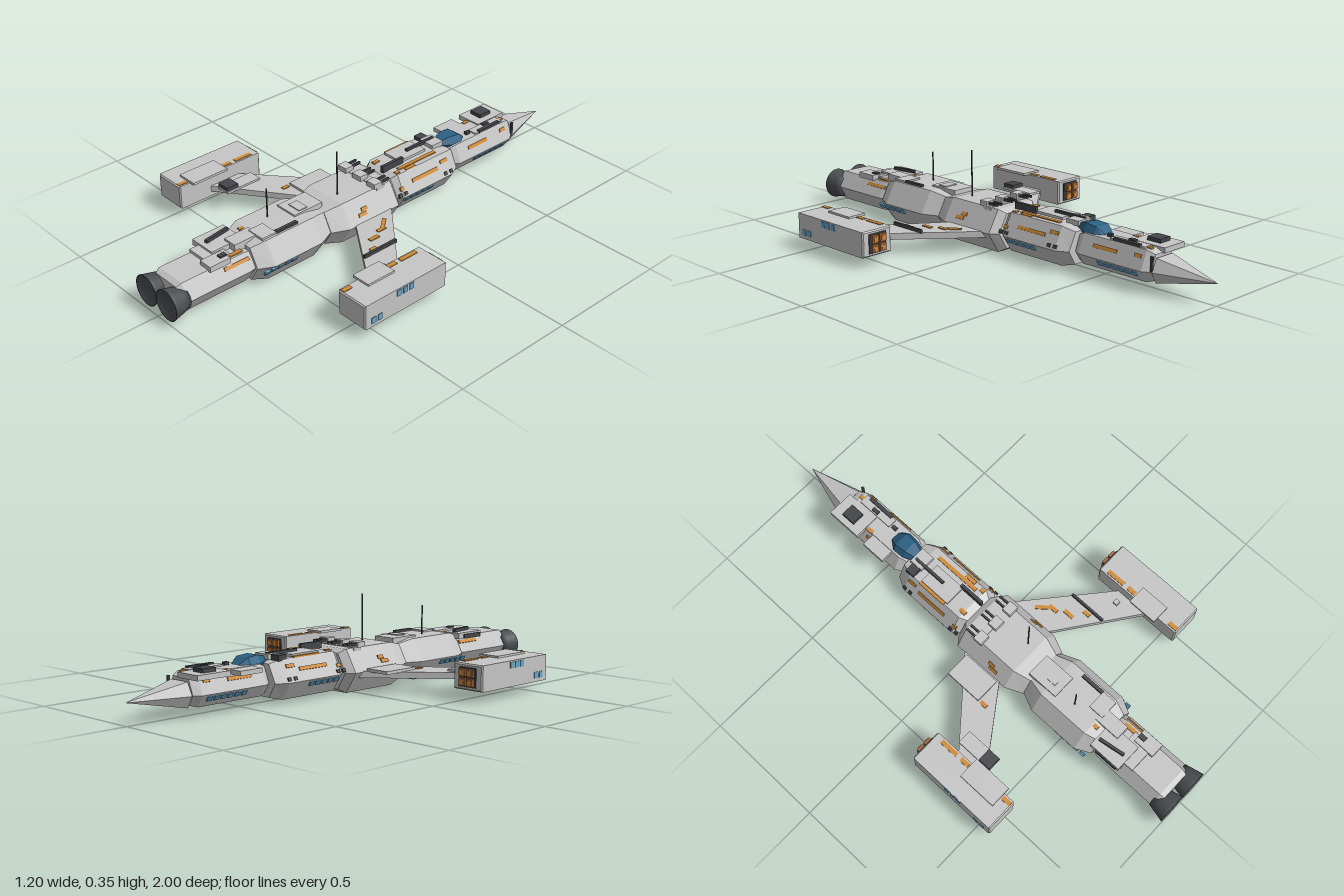
import * as THREE from 'three';

const paint = (name, color) => Object.assign(new THREE.MeshStandardMaterial({ color }), { name });

export function createModel() {
  const ship = new THREE.Group();
  ship.name = 'spaceship';
  const hull = paint('hull grey', 0xc6c6c6);
  const dark = paint('dark metal', 0x43464a);
  const engine = paint('engine grey', 0x4a4e52);
  const orange = paint('orange marking', 0xd08c38);
  const blue = paint('window blue', 0x62a8d0);
  const glass = paint('canopy blue', 0x2b6285);
  const rust = paint('launch tube rust', 0xa8683a);
  hull.flatShading = true;
  glass.flatShading = true;

  const add = (name, geo, mat) => {
    const m = new THREE.Mesh(geo, mat);
    m.name = name;
    ship.add(m);
    return m;
  };
  // Box given by its limits on each axis
  const box = (name, mat, x0, x1, y0, y1, z0, z1) => {
    const m = add(name, new THREE.BoxGeometry(x1 - x0, y1 - y0, z1 - z0), mat);
    m.position.set((x0 + x1) / 2, (y0 + y1) / 2, (z0 + z1) / 2);
    return m;
  };

  // Six-sided body through rings [z, halfWidth, bottom, middle, top, flatShare]
  function loft(name, mat, rings) {
    const pos = [];
    const sections = rings.map(([z, w, b, c, t, f = 0.64]) => [
      [w, c, z], [w * f, t, z], [-w * f, t, z], [-w, c, z], [-w * f, b, z], [w * f, b, z]]);
    const tri = (...p) => p.forEach((v) => pos.push(...v));
    for (let i = 0; i < sections.length - 1; i++) {
      const A = sections[i], B = sections[i + 1];
      for (let k = 0; k < 6; k++) {
        const n = (k + 1) % 6;
        tri(A[k], A[n], B[n]);
        tri(A[k], B[n], B[k]);
      }
    }
    const first = sections[0], last = sections[sections.length - 1];
    for (let k = 1; k < 5; k++) {
      tri(first[0], first[k + 1], first[k]);
      tri(last[0], last[k], last[k + 1]);
    }
    const geo = new THREE.BufferGeometry();
    geo.setAttribute('position', new THREE.Float32BufferAttribute(pos, 3));
    geo.computeVertexNormals();
    return add(name, geo, mat);
  }

  // Hull modules with tapered ends
  function hullModule(name, z0, z1, w, b, t, t0, t1, s = 0.78) {
    const c = 0.087;
    const end = (z) => [z, w * s, c + (b - c) * 0.82, c, c + (t - c) * 0.82];
    const mid = (z) => [z, w, b, c, t];
    loft(name, hull, [end(z0), mid(z0 + t0), mid(z1 - t1), end(z1)]);
    return { w, b, t, c };
  }
  const bow = hullModule('bowModule', -0.765, -0.41, 0.086, 0.042, 0.16, 0.03, 0.03);
  const fore = hullModule('foreModule', -0.405, -0.06, 0.122, 0.02, 0.172, 0.05, 0.03);
  const mid = hullModule('middleModule', -0.06, 0.285, 0.145, 0.005, 0.175, 0.025, 0.07);
  const aft = hullModule('aftModule', 0.285, 0.635, 0.14, 0.008, 0.175, 0.07, 0.06);
  const tail = hullModule('tailModule', 0.62, 0.955, 0.103, 0.028, 0.15, 0.04, 0.02, 0.92);
  loft('noseCone', hull, [[-1, 0.001, 0.086, 0.087, 0.088], [-0.77, 0.07, 0.042, 0.087, 0.135]]);
  loft('canopy', glass, [
    [-0.515, 0.03, 0.14, 0.15, 0.16], [-0.48, 0.05, 0.13, 0.155, 0.185],
    [-0.43, 0.045, 0.13, 0.16, 0.19], [-0.375, 0.02, 0.14, 0.165, 0.178]]);

  // Thin plate lying on a sloping flank of a module
  function flankPlate(name, mat, m, side, y, z0, z1, h = 0.014) {
    const edge = y > m.c ? m.t : m.b;
    const run = m.w * 0.64 - m.w, rise = edge - m.c;
    const x = m.w + run * (y - m.c) / rise;
    const p = add(name, new THREE.BoxGeometry(0.008, h, z1 - z0), mat);
    p.position.set(side * x, y, (z0 + z1) / 2);
    p.rotation.z = side * Math.atan(-run / rise);
  }
  for (const s of [-1, 1]) {
    // Window rows: module, first z, count
    for (const [m, z, n] of [[bow, -0.71, 6], [fore, -0.25, 5], [aft, 0.47, 5]])
      for (let i = 0; i < n; i++)
        flankPlate('hullWindow', blue, m, s, 0.072, z + i * 0.032, z + i * 0.032 + 0.022, 0.02);
    // Orange stripes along the upper flanks
    for (const [m, y, z0, z1] of [
      [bow, 0.128, -0.61, -0.5], [bow, 0.135, -0.72, -0.69], [fore, 0.13, -0.29, -0.15],
      [fore, 0.12, -0.1, -0.08], [fore, 0.145, -0.35, -0.31], [mid, 0.115, 0.12, 0.16],
      [mid, 0.13, 0.11, 0.14], [tail, 0.128, 0.65, 0.76]])
      flankPlate('flankStripe', orange, m, s, y, z0, z1);
    for (const z of [-0.36, -0.33, -0.11, -0.08])
      flankPlate('flankBlock', dark, fore, s, 0.1, z, z + 0.015);

    // Engine bell with a hollow nozzle
    const bell = new THREE.LatheGeometry([[0, -0.06], [0.044, -0.06], [0.05, -0.035],
      [0.058, 0], [0.062, 0.015], [0.058, 0.015], [0.04, 0.004], [0, 0]]
      .map(([r, y]) => new THREE.Vector2(r, y)), 28);
    const e = add('engineBell', bell, engine);
    engine.side = THREE.DoubleSide;
    e.rotation.x = Math.PI / 2;
    e.position.set(s * 0.06, 0.084, 0.985);

    // Swept wing
    const outline = [[0.1, -0.03], [0.14, 0], [0.47, 0.28], [0.47, 0.42], [0.14, 0.185], [0.1, 0.16]];
    const shape = new THREE.Shape(outline.map(([x, z]) => new THREE.Vector2(s * x, -z)));
    const wing = new THREE.ExtrudeGeometry(shape, { depth: 0.025, bevelEnabled: false });
    wing.rotateX(-Math.PI / 2);
    add('wing', wing, hull).position.y = 0.065;

    // Weapon pod with softened edges
    const face = new THREE.Shape();
    face.moveTo(-0.063, -0.045).lineTo(0.063, -0.045).lineTo(0.063, 0.045).lineTo(-0.063, 0.045);
    const podGeo = new THREE.ExtrudeGeometry(face, {
      depth: 0.385, bevelSize: 0.005, bevelThickness: 0.005, bevelSegments: 1 });
    add('pod', podGeo, hull).position.set(s * 0.527, 0.095, 0.17);
    const px = s * 0.527;
    box('launcherFrame', dark, px - 0.04, px + 0.04, 0.057, 0.133, 0.161, 0.17);
    for (const dx of [-0.018, 0.018])
      for (const dy of [-0.018, 0.018]) {
        const x = px + dx, y = 0.095 + dy;
        box('launchTube', rust, x - 0.015, x + 0.015, y - 0.015, y + 0.015, 0.15, 0.165);
        box('launchTubeMouth', orange, x - 0.008, x + 0.008, y - 0.008, y + 0.008, 0.148, 0.152);
      }
    // Pod windows and stripes
    const ox = s * 0.595;
    for (const [y, z] of [[0.128, 0.33], [0.128, 0.36], [0.128, 0.39], [0.072, 0.48], [0.072, 0.51]])
      box('podWindow', blue, ox - 0.003, ox + 0.003, y - 0.012, y + 0.012, z, z + 0.02);
    for (const [z0, z1] of [[0.2, 0.28], [0.3, 0.34], [0.515, 0.555]])
      box('podStripe', orange, s * 0.475 - 0.009, s * 0.475 + 0.009, 0.142, 0.148, z0, z1);
  }
  box('rightPodPlate', hull, -0.525, -0.435, 0.143, 0.153, 0.345, 0.51);
  box('leftPodPlate', hull, 0.435, 0.515, 0.143, 0.153, 0.345, 0.47);

  // Wing fittings
  box('wingRootPlate', hull, -0.255, -0.15, 0.088, 0.1, 0.02, 0.18);
  box('wingTipPlate', hull, -0.425, -0.365, 0.088, 0.098, 0.24, 0.4);
  box('wingTurret', dark, -0.425, -0.37, 0.098, 0.113, 0.345, 0.4);
  box('wingRod', dark, 0.315, 0.325, 0.088, 0.103, 0.15, 0.31);
  box('wingBlock', hull, 0.405, 0.425, 0.088, 0.102, 0.29, 0.31);
  for (const [x, z, l] of [[0.2, 0.1, 0.06], [0.225, 0.135, 0.04], [0.25, 0.195, 0.045], [0.3, 0.245, 0.03], [-0.25, 0.205, 0.03]]) {
    const m = box('wingStripe', orange, x - 0.008, x + 0.008, 0.088, 0.094, z - l / 2, z + l / 2);
    if (l > 0.05) m.rotation.y = 0.7;
  }
  for (const x of [-0.22, -0.2, 0.19, 0.23])
    box('wingUnderBlock', dark, x - 0.006, x + 0.006, 0.06, 0.068, 0.14, 0.16);

  // Raised deck plates
  for (const [x0, x1, y0, y1, z0, z1] of [
    [-0.105, 0.005, 0.145, 0.165, -0.775, -0.625], [-0.11, 0.005, 0.14, 0.158, -0.585, -0.48],
    [0.01, 0.05, 0.155, 0.166, -0.72, -0.56], [-0.07, 0.02, 0.168, 0.182, -0.3, -0.16],
    [-0.04, 0.03, 0.168, 0.188, -0.39, -0.33], [-0.1, 0.1, 0.155, 0.178, 0, 0.04],
    [-0.06, 0.04, 0.15, 0.182, 0.265, 0.4], [-0.03, 0.03, 0.17, 0.186, 0.33, 0.37],
    [0, 0.08, 0.165, 0.182, 0.52, 0.585], [-0.105, 0.01, 0.145, 0.17, 0.62, 0.76],
    [-0.07, 0.05, 0.145, 0.162, 0.71, 0.8], [0.02, 0.08, 0.145, 0.168, 0.73, 0.82],
    [-0.02, 0.04, 0.14, 0.178, 0.57, 0.68]])
    box('deckPlate', hull, x0, x1, y0, y1, z0, z1);

  // Dark deck machinery
  for (const [x0, x1, y0, y1, z0, z1] of [
    [-0.08, -0.025, 0.163, 0.18, -0.73, -0.67], [0.04, 0.055, 0.155, 0.172, -0.7, -0.58],
    [0.015, 0.03, 0.16, 0.174, -0.66, -0.63], [0.015, 0.03, 0.16, 0.172, -0.55, -0.53],
    [-0.08, -0.04, 0.165, 0.187, -0.375, -0.335], [-0.025, -0.013, 0.18, 0.192, -0.38, -0.23],
    [0.015, 0.028, 0.17, 0.198, -0.17, -0.06], [0.068, 0.082, 0.165, 0.185, 0.42, 0.52],
    [-0.11, -0.07, 0.145, 0.163, 0.65, 0.75], [0.04, 0.06, 0.165, 0.174, 0.73, 0.76],
    [0.062, 0.07, 0.09, 0.145, -0.772, -0.762]])
    box('deckMachinery', dark, x0, x1, y0, y1, z0, z1);
  box('tailRod', dark, -0.065, -0.053, 0.17, 0.183, 0.63, 0.74).rotation.y = 0.15;

  // Orange deck stripes
  for (const [x, y, z0, z1] of [[0.05, 0.172, -0.32, -0.12], [0.07, 0.172, -0.19, -0.14],
    [-0.075, 0.172, -0.3, -0.17], [-0.05, 0.172, -0.11, -0.08], [0.065, 0.172, -0.11, -0.09],
    [0.03, 0.16, -0.74, -0.72], [-0.05, 0.158, -0.62, -0.59], [-0.04, 0.17, 0.575, 0.6],
    [0.05, 0.151, 0.66, 0.72]])
    box('deckStripe', orange, x - 0.008, x + 0.008, y - 0.002, y + 0.004, z0, z1);

  // Triple deck guns
  for (const x of [-0.083, 0, 0.08]) {
    box('gunHousing', hull, x - 0.023, x + 0.023, 0.176, 0.197, 0.015, 0.055);
    for (const dx of [-0.011, 0.011])
      box('gunBarrel', dark, x + dx - 0.004, x + dx + 0.004, 0.184, 0.193, -0.03, 0.015);
  }

  // Antennas
  for (const [x, top, z] of [[0.028, 0.36, 0.178], [-0.03, 0.295, 0.472]]) {
    const a = add('antenna', new THREE.CylinderGeometry(0.003, 0.003, top - 0.17, 8), dark);
    a.position.set(x, (top + 0.17) / 2, z);
  }
  return ship;
}
